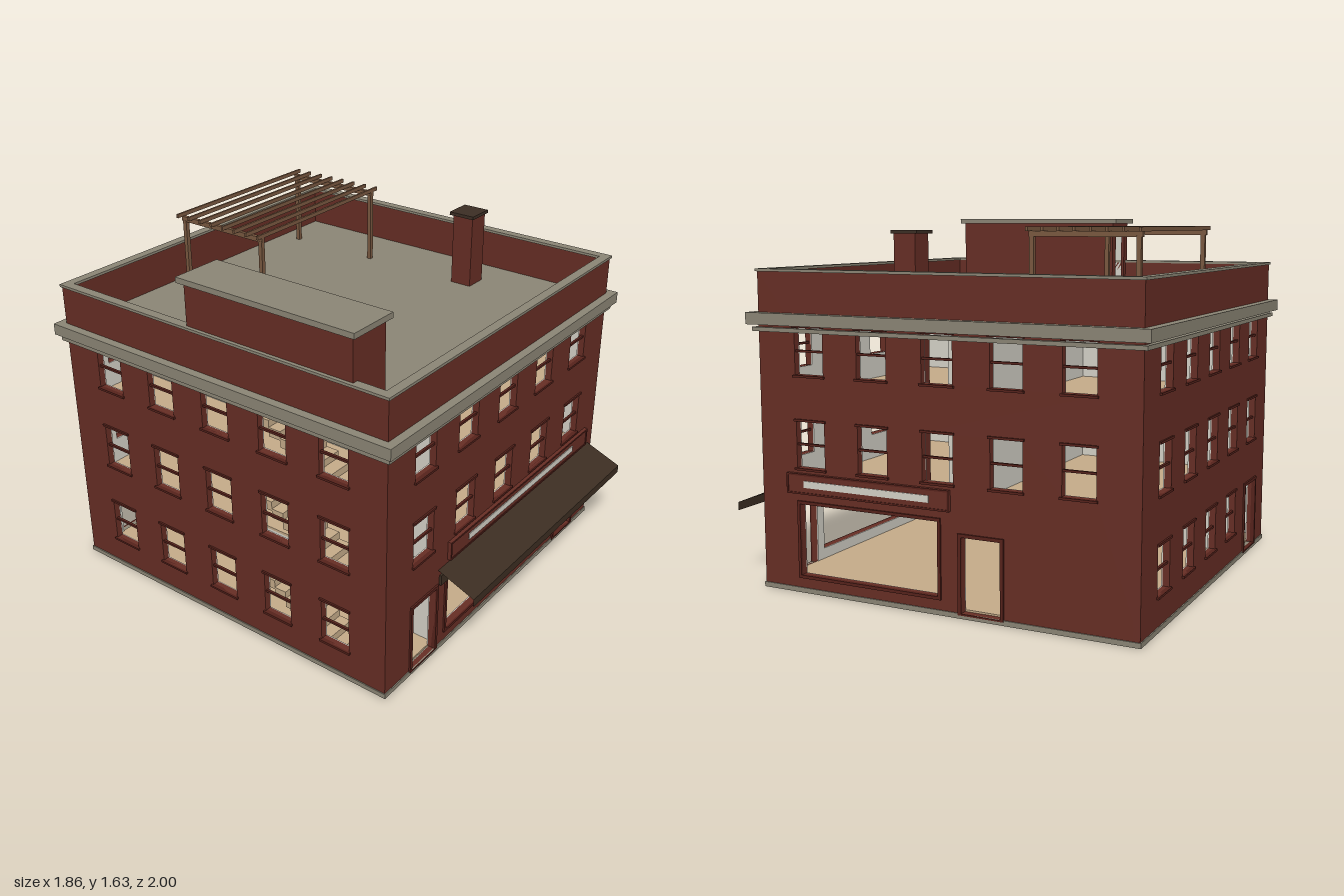
import * as THREE from 'three';

const mat = (name, color, side = THREE.FrontSide) => {
  const m = new THREE.MeshStandardMaterial({ color, side });
  m.name = name;
  return m;
};

export function createModel() {
  const brick = mat('brick', 0x672e25);
  const trim = mat('dark red trim', 0x56221b);
  const stone = mat('stone', 0x8c8676);
  const plaster = mat('plaster', 0xd6d3c9);
  const floorWood = mat('floor wood', 0xc6ac8a);
  const canvas = mat('awning canvas', 0x3c2e22, THREE.DoubleSide);
  const cap = mat('chimney cap', 0x3c2e24);
  const timber = mat('pergola timber', 0x7a5940);

  const root = new THREE.Group();
  root.name = 'cornerBuilding';
  const building = new THREE.Group();
  building.name = 'building';
  building.position.z = -0.07; // body sits behind the awning
  root.add(building);

  const add = (parent, name, geo, material) => {
    const m = new THREE.Mesh(geo, material);
    m.name = name;
    parent.add(m);
    return m;
  };
  // Box given by its limits on each axis
  const box = (parent, name, material, x0, x1, y0, y1, z0, z1) => {
    const m = add(parent, name, new THREE.BoxGeometry(x1 - x0, y1 - y0, z1 - z0), material);
    m.position.set((x0 + x1) / 2, (y0 + y1) / 2, (z0 + z1) / 2);
    return m;
  };
  const rect = (C, [a, b, c, d]) => {
    const p = new C();
    p.moveTo(a, c); p.lineTo(b, c); p.lineTo(b, d); p.lineTo(a, d); p.closePath();
    return p;
  };
  // Panel with rectangular openings [u0, u1, v0, v1]
  const panel = (outer, holes, depth) => {
    const s = rect(THREE.Shape, outer);
    holes.forEach((h) => s.holes.push(rect(THREE.Path, h)));
    return new THREE.ExtrudeGeometry(s, { depth, bevelEnabled: false });
  };
  // Horizontal plate, limits [x0, x1, z0, z1]
  const plate = (parent, name, material, outer, holes, top, h) => {
    const m = add(parent, name, panel(outer, holes, h).rotateX(Math.PI / 2), material);
    m.position.y = top;
  };
  const ring = (name, material, out, inn, y0, y1) =>
    plate(building, name, material, [-out, out, -out, out], [[-inn, inn, -inn, inn]], y1, y1 - y0);

  const H = 0.89, T = 0.03, IN = H - T;
  const cols = [-0.63, -0.315, 0, 0.315, 0.63];
  const rows = [0.15, 0.56, 0.967];

  // One facade, built facing +z and turned into place
  const facade = (name, angle, groundCols, doors, shops, sign) => {
    const g = new THREE.Group();
    g.name = name;
    g.rotation.y = angle;
    building.add(g);
    const holes = [];
    rows.forEach((y, r) => (r ? cols : groundCols).forEach((c) => {
      const a = c - 0.0725, b = c + 0.0725, top = y + 0.205;
      holes.push([a, b, y, top]);
      box(g, 'windowSill', trim, a - 0.008, b + 0.008, y - 0.01, y, H - 0.01, H + 0.01);
      box(g, 'windowLintel', trim, a - 0.008, b + 0.008, top, top + 0.01, H - 0.01, H + 0.008);
      box(g, 'windowRail', trim, a, b, y + 0.098, y + 0.108, H - 0.02, H - 0.008);
    }));
    const framed = (label, [a, b, y0, y1], w, bottom) => {
      holes.push([a, b, y0, y1]);
      const f = add(g, label, panel([a - w, b + w, bottom, y1 + w], [[a, b, y0, y1]], 0.02), trim);
      f.position.z = H - 0.012;
    };
    doors.forEach((d) => framed('doorFrame', d, 0.015, 0.015));
    shops.forEach((s) => framed('shopWindowFrame', s, 0.014, s[2] - 0.014));
    const outer = add(g, 'brickWall', panel([-H, H, 0.01, 1.41], holes, T), brick);
    outer.position.z = IN;
    const lining = add(g, 'innerWall', panel([-IN, IN, 0.012, 1.21], holes, 0.005), plaster);
    lining.position.z = IN - 0.005;
    if (sign) {
      const [a, b, c, d] = sign;
      box(g, 'signBoard', brick, a, b, 0.447, 0.537, H, H + 0.014);
      ring4(g, a, b);
      box(g, 'signPanel', plaster, c, d, 0.477, 0.507, H + 0.012, H + 0.018);
    }
    return g;
  };
  // Raised border of a sign board
  const ring4 = (g, a, b) => {
    const m = add(g, 'signBorder',
      panel([a, b, 0.447, 0.537], [[a + 0.008, b - 0.008, 0.455, 0.529]], 0.004), trim);
    m.position.z = H + 0.014;
  };

  const front = facade('frontFacade', 0, [],
    [[-0.7, -0.525, 0.022, 0.345], [0.545, 0.72, 0.022, 0.345]],
    [[-0.44, 0.495, 0.08, 0.4]], [-0.44, 0.8, -0.295, 0.65]);
  facade('rightFacade', Math.PI / 2, [], [[0.11, 0.29, 0.022, 0.345]],
    [[-0.69, 0, 0.08, 0.4]], [-0.75, 0.06, -0.66, -0.035]);
  facade('backFacade', Math.PI, cols.slice(0, 4), [[0.545, 0.72, 0.022, 0.345]], [], null);
  facade('leftFacade', -Math.PI / 2, cols, [], [], null);

  // Awning: sloped sheet, hanging valance and wall rail
  const sheet = (name, w, h) => add(front, name, new THREE.PlaneGeometry(w, h), canvas);
  const drop = 0.072, out = 0.18;
  const slope = sheet('awningSlope', 1.36, Math.hypot(drop, out));
  slope.rotation.x = -Math.atan2(out, drop);
  slope.position.set(0.17, 0.43 - drop / 2, H + out / 2);
  sheet('awningValance', 1.36, 0.038).position.set(0.17, 0.339, H + out);
  box(front, 'awningRail', canvas, -0.5, 0.84, 0.35, 0.4, H, H + 0.012);

  // Stone bands
  box(building, 'basePlinth', stone, -0.895, 0.895, 0, 0.022, -0.895, 0.895);
  ring('lowerCornice', stone, 0.91, H - 0.005, 1.15, 1.168);
  ring('upperCornice', stone, 0.93, H - 0.005, 1.18, 1.232);
  ring('parapetCoping', stone, 0.897, 0.853, 1.408, 1.42);

  // Floors, ceilings and roof deck, open above the stairs
  const inner = [-IN, IN, -IN, IN];
  const well = [[-0.858, -0.7, -0.03, 0.69]];
  plate(building, 'groundFloor', floorWood, inner, [], 0.03, 0.012);
  [0.44, 0.845].forEach((y) => {
    plate(building, 'upperFloor', floorWood, inner, well, y, 0.012);
    plate(building, 'ceiling', plaster, inner, well, y - 0.012, 0.015);
  });
  plate(building, 'roofDeck', stone, inner, well, 1.23, 0.015);
  plate(building, 'topCeiling', plaster, inner, well, 1.215, 0.015);

  // Interior partitions: hall wall with flat doors, and wall between flats
  [[0.03, 0.415], [0.44, 0.818], [0.845, 1.2]].forEach(([y0, y1], i) => {
    const doors = i ? [[-0.45, -0.29, y0 + 0.005, y0 + 0.3], [0.31, 0.47, y0 + 0.005, y0 + 0.3]] : [];
    const hall = add(building, 'hallPartition', panel([-IN, IN, y0, y1], doors, 0.02), plaster);
    hall.rotation.y = Math.PI / 2;
    hall.position.x = -0.5;
    if (i) box(building, 'flatPartition', plaster, -0.49, 0.855, y0, y1, -0.06, -0.035);
  });

  // Three flights of stairs, all climbing towards the back
  [[0.03, 0.44], [0.44, 0.845], [0.845, 1.23]].forEach(([y0, y1]) => {
    const n = 12, rise = (y1 - y0) / n, run = 0.72 / n;
    for (let i = 0; i < n; i++) {
      const y = y0 + (i + 1) * rise, z = 0.69 - i * run;
      box(building, 'stairStep', floorWood, -0.855, -0.702, y - rise * 1.3, y, z - run, z);
    }
  });

  // Stair house on the roof, with a doorway at the back
  const sx0 = -0.88, sx1 = -0.675, sz0 = -0.135, sz1 = 0.72, sTop = 1.61;
  const backWall = add(building, 'stairHouseBack',
    panel([sx0, sx1, 1.225, sTop], [[-0.835, -0.72, 1.232, 1.55]], 0.015), brick);
  backWall.position.z = sz0;
  box(building, 'stairHouseFront', brick, sx0, sx1, 1.225, sTop, sz1 - 0.015, sz1);
  box(building, 'stairHouseSide', brick, sx0, sx0 + 0.015, 1.225, sTop, sz0, sz1);
  box(building, 'stairHouseSide', brick, sx1 - 0.015, sx1, 1.225, sTop, sz0, sz1);
  box(building, 'stairHouseLining', plaster, sx1 - 0.02, sx1 - 0.014, 1.232, sTop, sz0 + 0.015, sz1 - 0.015);
  box(building, 'stairHouseLining', plaster, sx0 + 0.014, sx0 + 0.02, 1.232, sTop, sz0 + 0.015, sz1 - 0.015);
  box(building, 'stairHouseRoof', stone, -0.9, -0.657, sTop, 1.635, -0.16, 0.74);

  // Chimney running down through the upper floors
  box(building, 'chimney', brick, 0.57, 0.68, 0.44, 1.572, 0.22, 0.325);
  box(building, 'chimneyCap', cap, 0.558, 0.69, 1.57, 1.585, 0.205, 0.335);

  // Roof pergola
  const pergola = new THREE.Group();
  pergola.name = 'pergola';
  root.add(pergola);
  [-0.237, 0.587].forEach((x) => {
    box(pergola, 'pergolaBeam', timber, x - 0.009, x + 0.009, 1.56, 1.583, -0.838, -0.342);
    [-0.822, -0.354].forEach((z) =>
      box(pergola, 'pergolaPost', timber, x - 0.01, x + 0.01, 1.23, 1.565, z - 0.01, z + 0.01));
  });
  for (let i = 0; i < 8; i++) {
    const z = -0.837 + i * 0.0705;
    box(pergola, 'pergolaSlat', timber, -0.277, 0.623, 1.582, 1.6, z - 0.005, z + 0.005);
  }

  return root;
}
